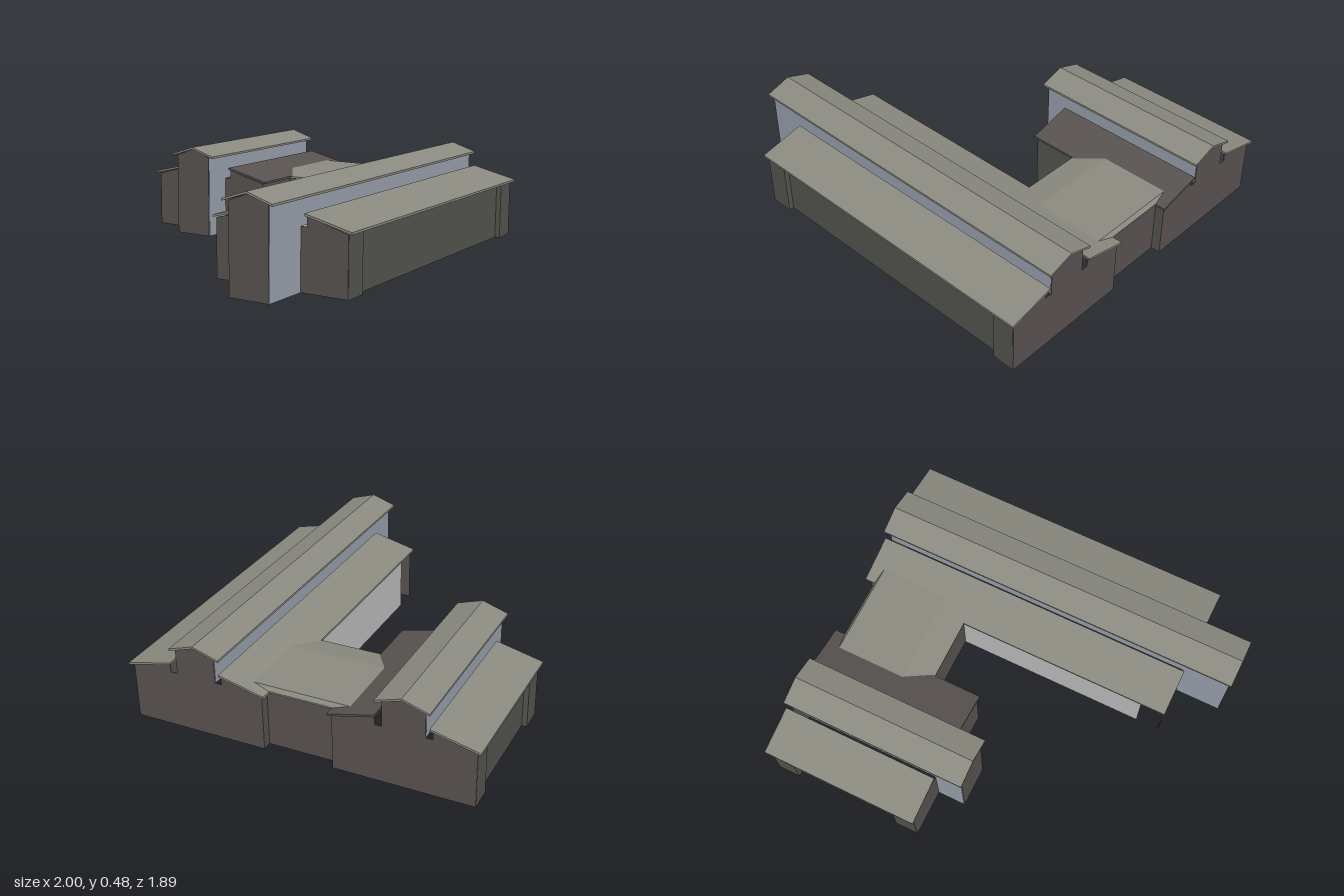
import * as THREE from 'three';

const mat = (name, color) => {
  const m = new THREE.MeshStandardMaterial({ color, side: THREE.DoubleSide });
  m.name = name;
  return m;
};

export function createModel() {
  const M = {
    roof: mat('olive grey roof', 0x8a8a80),
    wall: mat('dark olive wall', 0x53534e),
    gable: mat('dark brown gable', 0x585250),
    clerestory: mat('blue grey clerestory', 0x98a0ac),
    pale: mat('pale grey wall', 0xbcbcbc),
  };
  const model = new THREE.Group();
  model.name = 'hallComplex';
  const T = 0.004; // wall thickness

  const add = (parent, name, geo, m) => {
    const mesh = new THREE.Mesh(geo, m);
    mesh.name = name;
    parent.add(mesh);
  };
  const extrude = (pts, depth) => new THREE.ExtrudeGeometry(
    new THREE.Shape(pts.map(p => new THREE.Vector2(...p))), { depth, bevelEnabled: false });
  // Cross-section of [z, y] points swept along x from x0 to x1
  const sweepX = (pts, x0, x1) =>
    extrude(pts.map(([z, y]) => [-z, y]), x1 - x0).rotateY(Math.PI / 2).translate(x0, 0, 0);
  const block = (x0, x1, y0, y1, z0, z1) =>
    new THREE.BoxGeometry(x1 - x0, y1 - y0, Math.abs(z1 - z0))
      .translate((x0 + x1) / 2, (y0 + y1) / 2, (z0 + z1) / 2);

  const EAST = 0.945, TALL = 0.43;

  // One hall: tall central clerestory, an aisle on each side; s mirrors it in z
  function hall(name, s, west, tallWest, innerSlope) {
    const g = new THREE.Group();
    g.name = name;
    const sec = pts => pts.map(([z, y]) => [z * s, y]);
    const outerAisle = [[0.885, 0], [0.885, 0.29], [0.675, 0.345], [0.675, 0.3], [0.64, 0.3], [0.64, 0]];
    const innerAisle = [[0.18, 0], [0.18, 0.29], [0.395, 0.345], [0.395, 0.3], [0.43, 0.3], [0.43, 0]];
    const tall = [[0.43, 0], [0.64, 0], [0.64, TALL], [0.535, 0.468], [0.43, TALL]];

    // End walls
    add(g, 'eastGable', sweepX(sec([
      ...outerAisle.slice(0, 5), [0.64, TALL], [0.535, 0.468], [0.43, TALL],
      ...innerAisle.slice(0, 5).reverse()]), EAST - T, EAST), M.gable);
    add(g, 'outerAisleWestGable', sweepX(sec(outerAisle), west, west + T), M.gable);
    add(g, 'innerAisleWestGable', sweepX(sec(innerAisle), west, west + T), M.gable);
    add(g, 'clerestoryWestGable', sweepX(sec(tall), tallWest, tallWest + T), M.gable);

    // Clerestory walls: full height past the aisles, upper band only above them
    for (const z of [0.43, 0.64]) {
      const z0 = s * (z - T / 2), z1 = s * (z + T / 2);
      add(g, 'clerestoryEndWall', block(tallWest + T, west, 0, TALL, z0, z1), M.clerestory);
      add(g, 'clerestoryUpperWall', block(west, EAST - T, 0.3, TALL, z0, z1), M.clerestory);
    }

    // Outer wall: recessed centre between corner piers
    add(g, 'outerWall', block(west + 0.12, 0.83, 0, 0.292, s * 0.856, s * 0.86), M.wall);
    add(g, 'westPier', block(west + T, west + 0.125, 0, 0.288, s * 0.858, s * 0.886), M.wall);
    add(g, 'eastPier', block(0.825, EAST - T, 0, 0.288, s * 0.858, s * 0.886), M.wall);
    add(g, 'innerEastWall', block(0.895, EAST - T, 0, 0.288, s * 0.18, s * 0.184), M.wall);

    // Roof slabs
    const roofEast = 0.96, t = 0.011;
    const slab = (z0, y0, z1, y1) => sec([[z0, y0], [z1, y1], [z1, y1 - t], [z0, y0 - t]]);
    add(g, 'outerAisleRoof', sweepX(slab(0.906, 0.302, 0.665, 0.36), west - 0.008, roofEast), M.roof);
    add(g, 'innerAisleRoof', sweepX(slab(0.163, 0.302, 0.4, 0.36), west - 0.008, roofEast), innerSlope);
    add(g, 'clerestoryRoof', sweepX(sec([
      [0.398, 0.437], [0.531, 0.48], [0.665, 0.437],
      [0.665, 0.426], [0.531, 0.469], [0.398, 0.426]]), tallWest - 0.01, roofEast), M.roof);
    model.add(g);
    return g;
  }

  const front = hall('frontHall', 1, -0.765, -1.01, M.roof);
  add(front, 'courtWall', block(-0.64, 0.385, 0, 0.292, 0.18, 0.184), M.pale);
  add(front, 'eaveTrim', block(-0.765, EAST, 0.288, 0.297, 0.884, 0.89), M.pale);

  const rear = hall('rearHall', -1, 0.125, -0.025, M.gable);
  add(rear, 'courtWall', block(0.125, 0.385, 0, 0.288, -0.184, -0.18), M.wall);

  // Link between the halls, with a low roof sloping down to the court
  const link = new THREE.Group();
  link.name = 'link';
  add(link, 'linkRoof', extrude([
    [0.375, 0.3], [0.52, 0.323], [0.89, 0.323], [0.906, 0.303],
    [0.906, 0.295], [0.885, 0.313], [0.52, 0.313], [0.375, 0.29]], 0.52).translate(0, 0, -0.26), M.roof);
  add(link, 'linkEastWall', block(0.892, 0.896, 0, 0.312, -0.184, 0.184), M.gable);
  add(link, 'linkWestWall', block(0.385, 0.389, 0, 0.292, -0.184, 0.184), M.gable);
  model.add(link);

  model.rotation.y = 0.0465; // the whole plan sits slightly skewed
  const root = new THREE.Group();
  root.name = 'building';
  root.add(model);
  return root;
}
